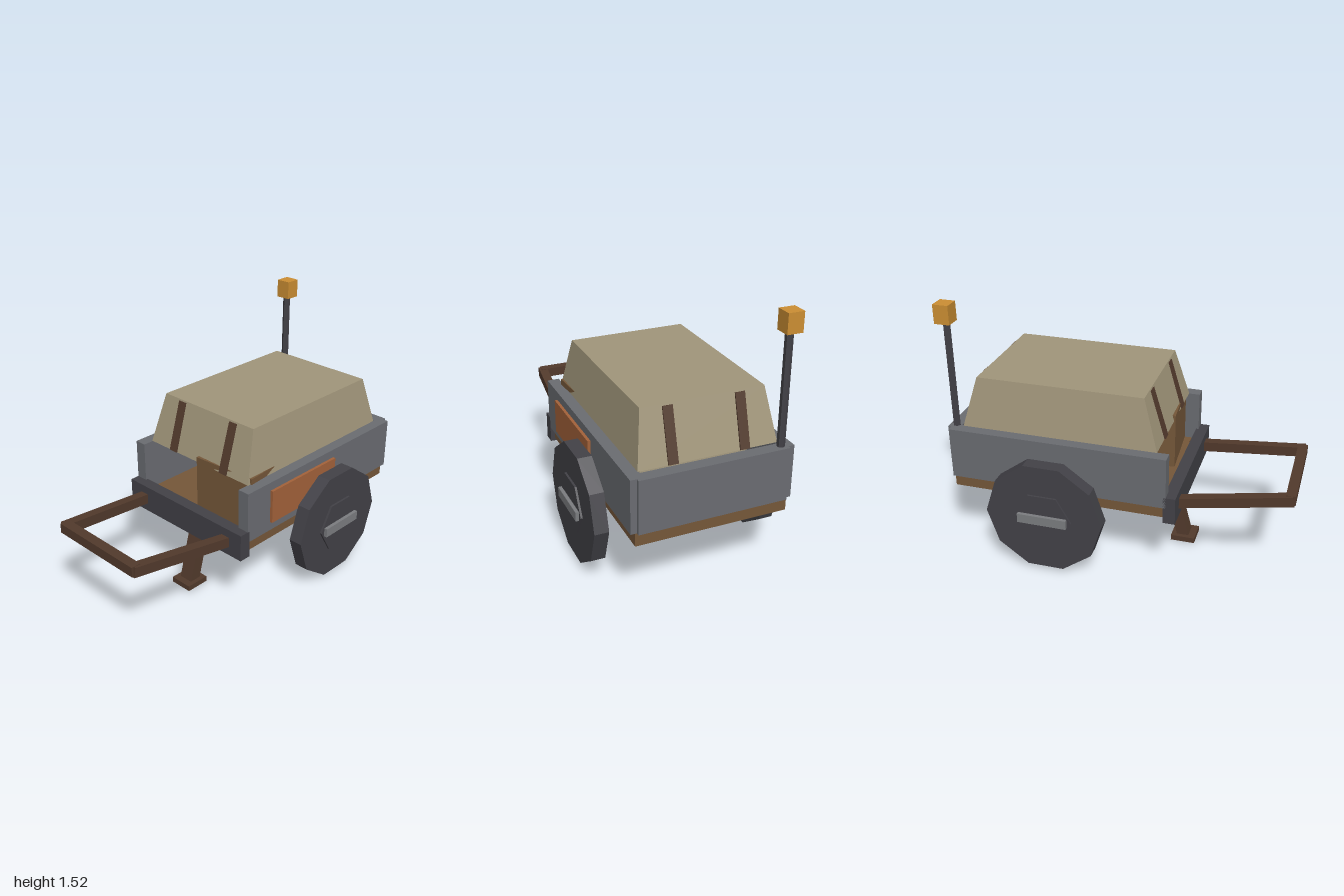
import * as THREE from 'three';

const mat = (name, color) => {
  const m = new THREE.MeshStandardMaterial({ color, flatShading: true });
  m.name = name;
  return m;
};

export function createModel() {
  const cart = new THREE.Group();
  cart.name = 'cart';
  const steel = mat('greySteel', 0x6a6c71);
  const dark = mat('darkIron', 0x424147);
  const canvas = mat('tanCanvas', 0xa0957a);
  const wood = mat('wood', 0x755739);
  const darkWood = mat('darkWood', 0x523a2c);
  const rust = mat('rustPanel', 0xa3623a);
  const amber = mat('amberLamp', 0xcb8e33);
  const bare = mat('bareMetal', 0x7b7d80);

  const add = (name, geometry, material, x = 0, y = 0, z = 0) => {
    const mesh = new THREE.Mesh(geometry, material);
    mesh.name = name;
    mesh.position.set(x, y, z);
    cart.add(mesh);
    return mesh;
  };
  // Box given by its low and high corners
  const box = (name, material, [x0, y0, z0], [x1, y1, z1]) =>
    add(name, new THREE.BoxGeometry(x1 - x0, y1 - y0, z1 - z0), material,
      (x0 + x1) / 2, (y0 + y1) / 2, (z0 + z1) / 2);
  // Square bar running between two points
  const bar = (name, material, a, b, w, h) => {
    const from = new THREE.Vector3(...a), to = new THREE.Vector3(...b);
    const mesh = add(name, new THREE.BoxGeometry(w, h, from.distanceTo(to)), material);
    mesh.position.copy(from).add(to).multiplyScalar(0.5);
    mesh.lookAt(to);
    return mesh;
  };
  // Box whose top is smaller than its base
  const tapered = (w, h, d, topW, topD) => {
    const g = new THREE.BoxGeometry(w, h, d);
    const p = g.attributes.position;
    for (let i = 0; i < p.count; i++) {
      if (p.getY(i) > 0) p.setXYZ(i, p.getX(i) * topW / w, p.getY(i), p.getZ(i) * topD / d);
    }
    g.computeVertexNormals();
    return g;
  };

  // Bed and walls
  box('floor', wood, [-0.43, 0.415, -0.97], [0.43, 0.49, 0.305]);
  box('backWall', steel, [-0.42, 0.49, -0.99], [0.42, 0.795, -0.92]);
  box('frontBeam', dark, [-0.455, 0.395, 0.29], [0.455, 0.557, 0.36]);
  box('sidePanel', rust, [0.45, 0.545, -0.425], [0.472, 0.745, 0.125]);

  // Load under the cover
  add('cover', tapered(0.78, 0.295, 1.145, 0.69, 0.975), canvas, 0, 0.9425, -0.335);
  add('sack', tapered(0.66, 0.3, 0.5, 0.6, 0.42), canvas, -0.01, 0.64, -0.5);
  const yaw = 0.07, crateW = 0.4, crateD = 0.55;
  const crate = add('crate', new THREE.BoxGeometry(crateW, 0.34, crateD), wood);
  crate.rotation.y = yaw;
  crate.position.set(crateW / 2, 0, -crateD / 2).applyAxisAngle(new THREE.Vector3(0, 1, 0), yaw);
  crate.position.add(new THREE.Vector3(0, 0.66, 0.246));

  // Parts repeated on both sides
  for (const s of [-1, 1]) {
    add('sideWall', new THREE.BoxGeometry(0.07, 0.305, 1.275), steel, s * 0.42, 0.6425, -0.3325);
    bar('frontStrap', darkWood, [s * 0.2, 0.795, 0.238], [s * 0.2, 1.08, 0.153], 0.055, 0.016);
    bar('backStrap', darkWood, [s * 0.2, 0.795, -0.908], [s * 0.2, 1.08, -0.825], 0.055, 0.016);
    bar('handleArm', darkWood, [s * 0.345, 0.465, 0.27], [s * 0.285, 0.563, 0.98], 0.055, 0.06);

    // Ten-sided wheel with a hexagonal hub and a flat bar across it
    const disc = (name, r, w, sides, x) => {
      const g = new THREE.CylinderGeometry(r, r, w, sides);
      add(name, g, dark, s * x, 0.36, -0.38).rotation.z = Math.PI / 2;
    };
    disc('wheel', 0.345, 0.082, 10, 0.512);
    disc('hub', 0.17, 0.108, 6, 0.511);
    add('hubBar', new THREE.BoxGeometry(0.145, 0.055, 0.29), bare, s * 0.5125, 0.36, -0.38);
  }
  add('axle', new THREE.CylinderGeometry(0.031, 0.031, 0.92, 6), dark, 0, 0.36, -0.38)
    .rotation.z = Math.PI / 2;

  // Handle and prop stand
  box('handleGrip', darkWood, [-0.3, 0.535, 0.935], [0.3, 0.593, 0.992]);
  bar('standLeg', darkWood, [0, 0.46, 0.207], [0, 0.016, 0.326], 0.088, 0.07);
  box('standFoot', darkWood, [-0.07, 0.015, 0.25], [0.07, 0.048, 0.395]);

  // Lamp mast
  add('mast', new THREE.CylinderGeometry(0.022, 0.022, 0.93, 6), dark, -0.385, 0.955, -0.95);
  box('lamp', amber, [-0.43, 1.42, -1], [-0.34, 1.53, -0.91]);

  return cart;
}
